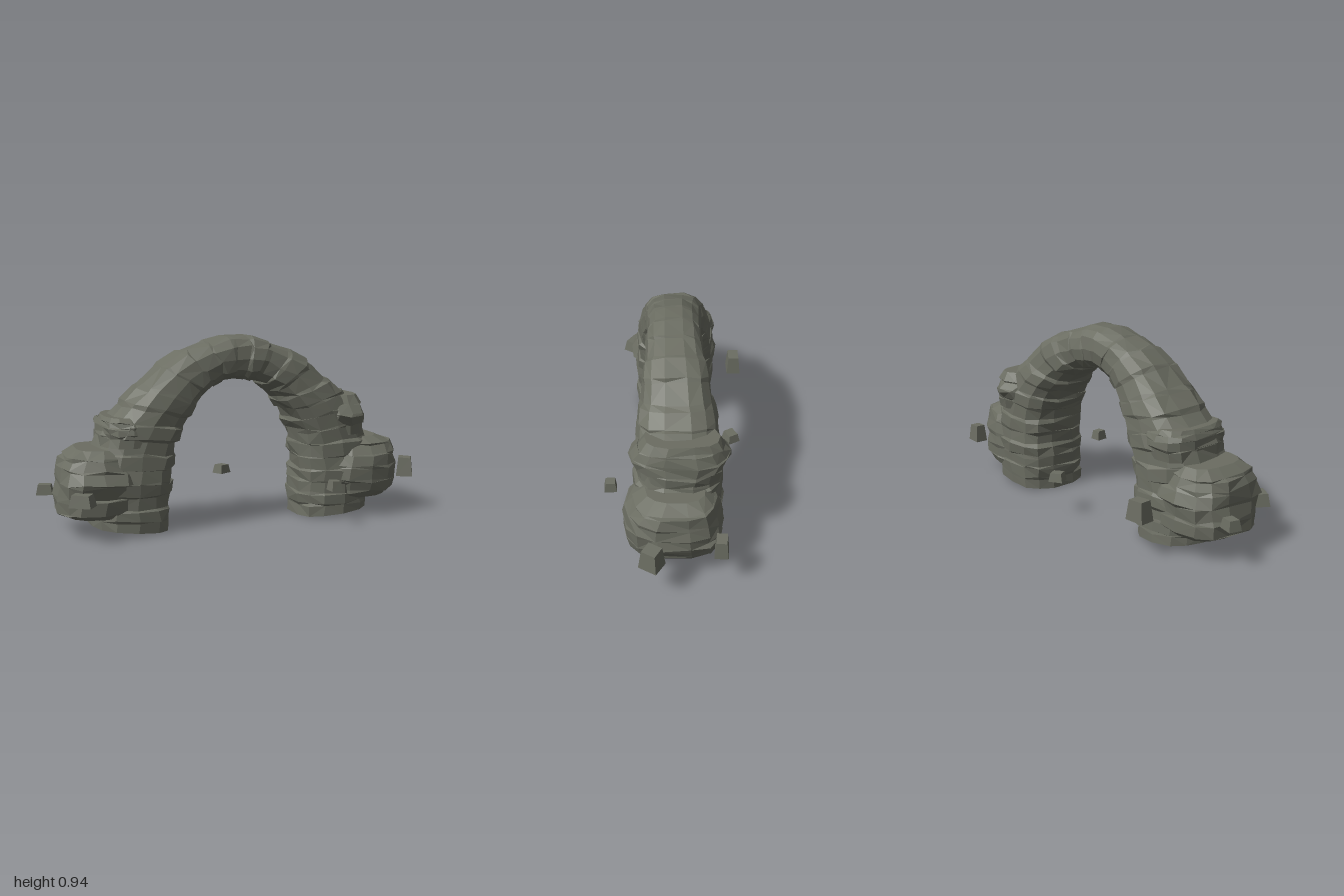
import * as THREE from 'three';

// small seeded random generator, -1..1
function seeded(seed) {
  let s = seed;
  return () => {
    s = (s * 16807) % 2147483647;
    return (s / 2147483647) * 2 - 1;
  };
}

const SIDES = 14;

// Layered rock lofted through keys of [innerX, innerY, outerX, outerY, frontZ, backZ].
// Each layer has its own width, so neighbouring layers meet in a ledge.
function strataGeometry(keys, layers, ledge, rough, seed) {
  const rnd = seeded(seed);
  const curve = (f) => new THREE.CatmullRomCurve3(keys.map(f));
  const inner = curve((k) => new THREE.Vector3(k[0], k[1], 0));
  const outer = curve((k) => new THREE.Vector3(k[2], k[3], 0));
  const depth = curve((k) => new THREE.Vector3(k[4], k[5], 0));
  const rings = [];
  const addRing = (t, scale, bumps, jitter) => {
    const i = inner.getPoint(t), o = outer.getPoint(t), d = depth.getPoint(t);
    const mid = i.clone().add(o).multiplyScalar(0.5);
    const half = o.clone().sub(i).multiplyScalar(0.5);
    const ring = [];
    for (let j = 0; j < SIDES; j++) {
      const a = ((j + 0.5) / SIDES) * Math.PI * 2;
      const c = Math.cos(a), s = Math.sin(a);
      const k = scale + bumps[j];
      const u = Math.sign(c) * Math.abs(c) ** 0.75 * k;
      const w = Math.sign(s) * Math.abs(s) ** 0.75 * k;
      const z = (d.x + d.y) / 2 + w * (d.x - d.y) / 2;
      const p = new THREE.Vector3(mid.x + half.x * u, mid.y + half.y * u, z);
      p.x += rnd() * jitter;
      p.y += rnd() * jitter;
      ring.push(p);
    }
    rings.push(ring);
  };
  for (let n = 0; n < layers; n++) {
    const scale = 1 + (n % 2 ? ledge : -ledge) * (0.7 + 0.5 * rnd());
    const bumps = Array.from({ length: SIDES }, () => rnd() * rough);
    const first = n === 0, last = n === layers - 1;
    addRing((n + (first ? 0 : 0.1)) / layers, scale, bumps, first ? 0 : 0.008);
    addRing((n + (last ? 1 : 0.9)) / layers, scale - 0.01, bumps, last ? 0 : 0.008);
  }

  const pos = [];
  const tri = (...pts) => pts.forEach((p) => pos.push(p.x, p.y, p.z));
  for (let r = 0; r < rings.length - 1; r++) {
    for (let j = 0; j < SIDES; j++) {
      const k = (j + 1) % SIDES;
      const a = rings[r][j], b = rings[r][k], c = rings[r + 1][k], d = rings[r + 1][j];
      if ((r + j) % 3) { tri(a, b, d); tri(b, c, d); }
      else { tri(a, b, c); tri(a, c, d); }
    }
  }
  // close both ends
  const centre = (ring) => ring.reduce((m, p) => m.add(p), new THREE.Vector3()).divideScalar(SIDES);
  const start = rings[0], end = rings[rings.length - 1];
  const c0 = centre(start), c1 = centre(end);
  for (let j = 0; j < SIDES; j++) {
    const k = (j + 1) % SIDES;
    tri(c0, start[k], start[j]);
    tri(c1, end[j], end[k]);
  }
  const g = new THREE.BufferGeometry();
  g.setAttribute('position', new THREE.Float32BufferAttribute(pos, 3));
  g.computeVertexNormals();
  return g;
}

// Loose stone: a box narrowed towards its top
function stoneGeometry(w, h, d) {
  const g = new THREE.BoxGeometry(w, h, d).toNonIndexed();
  const p = g.attributes.position;
  for (let i = 0; i < p.count; i++) {
    if (p.getY(i) > 0) {
      const lean = p.getX(i) > 0 ? 0.93 : 1;
      p.setXYZ(i, p.getX(i) * 0.76, p.getY(i) * lean, p.getZ(i) * 0.76);
    }
  }
  g.translate(0, h / 2, 0);
  g.computeVertexNormals();
  return g;
}

export function createModel() {
  const model = new THREE.Group();
  model.name = 'rockArch';
  const rock = new THREE.MeshStandardMaterial({ color: 0x6b6d62 });
  rock.name = 'greyRock';
  rock.flatShading = true;
  const add = (name, geometry) => {
    const mesh = new THREE.Mesh(geometry, rock);
    mesh.name = name;
    model.add(mesh);
    return mesh;
  };

  // Arch, from the foot at -x over the crown to the foot at +x
  const arch = [
    [-0.365, 0.0, -0.76, 0.04, 0.21, -0.21],
    [-0.365, 0.10, -0.76, 0.11, 0.21, -0.21],
    [-0.36, 0.20, -0.76, 0.21, 0.21, -0.21],
    [-0.345, 0.30, -0.74, 0.32, 0.21, -0.21],
    [-0.325, 0.40, -0.72, 0.44, 0.205, -0.21],
    [-0.285, 0.50, -0.66, 0.56, 0.20, -0.20],
    [-0.23, 0.59, -0.54, 0.68, 0.19, -0.185],
    [-0.16, 0.67, -0.37, 0.83, 0.165, -0.15],
    [-0.08, 0.715, -0.18, 0.91, 0.15, -0.125],
    [0.0, 0.725, 0.01, 0.95, 0.145, -0.12],
    [0.08, 0.715, 0.18, 0.91, 0.15, -0.125],
    [0.16, 0.67, 0.36, 0.83, 0.165, -0.15],
    [0.23, 0.60, 0.52, 0.70, 0.185, -0.18],
    [0.29, 0.51, 0.64, 0.59, 0.20, -0.20],
    [0.325, 0.41, 0.70, 0.45, 0.205, -0.205],
    [0.335, 0.30, 0.72, 0.32, 0.21, -0.21],
    [0.335, 0.20, 0.73, 0.21, 0.21, -0.21],
    [0.335, 0.10, 0.73, 0.11, 0.21, -0.21],
    [0.33, 0.0, 0.73, 0.04, 0.21, -0.21],
  ];
  add('arch', strataGeometry(arch, 29, 0.025, 0.03, 71));

  // Outcrops, built upwards: rows of [y, centre x, half width, front z, back z]
  const outcrop = (name, rows, seed) =>
    add(name, strataGeometry(
      rows.map(([y, x, w, f, b]) => [x + w, y, x - w, y, f, b]), rows.length, 0.015, 0.045, seed));

  outcrop('leftFlankOutcrop', [
    [0.095, 0.65, 0.16, 0.20, -0.19],
    [0.14, 0.66, 0.19, 0.24, -0.21],
    [0.22, 0.66, 0.205, 0.26, -0.21],
    [0.30, 0.67, 0.195, 0.26, -0.20],
    [0.37, 0.68, 0.18, 0.22, -0.18],
    [0.41, 0.66, 0.12, 0.15, -0.13],
  ], 19);
  outcrop('rightFlankOutcrop', [
    [0.095, -0.71, 0.17, 0.18, -0.19],
    [0.13, -0.72, 0.205, 0.21, -0.22],
    [0.22, -0.72, 0.20, 0.22, -0.22],
    [0.30, -0.72, 0.19, 0.22, -0.22],
    [0.37, -0.72, 0.17, 0.20, -0.20],
    [0.42, -0.71, 0.11, 0.15, -0.15],
  ], 43);
  outcrop('leftShoulderLedge', [
    [0.43, 0.57, 0.13, 0.19, -0.20],
    [0.50, 0.565, 0.135, 0.20, -0.22],
    [0.57, 0.56, 0.12, 0.20, -0.22],
    [0.63, 0.565, 0.09, 0.16, -0.19],
  ], 88);
  outcrop('rightShoulderLedge', [
    [0.43, -0.58, 0.13, 0.20, -0.21],
    [0.50, -0.575, 0.13, 0.20, -0.22],
    [0.54, -0.575, 0.125, 0.19, -0.21],
    [0.57, -0.58, 0.10, 0.16, -0.18],
  ], 27);

  // Loose stones: [x, z, width, height, depth, turn]
  [
    [-0.605, -0.335, 0.105, 0.10, 0.075, 0.02],
    [0.04, -0.285, 0.075, 0.045, 0.065, 0.5],
    [0.86, -0.195, 0.085, 0.09, 0.065, -0.08],
    [0.935, 0.125, 0.085, 0.10, 0.095, -0.55],
    [0.415, 0.33, 0.06, 0.05, 0.062, 0.05],
    [-0.95, -0.105, 0.08, 0.05, 0.065, -0.3],
    [-0.835, 0.23, 0.11, 0.06, 0.08, -0.6],
  ].forEach(([x, z, w, h, d, turn], i) => {
    const stone = add('looseStone' + (i + 1), stoneGeometry(w, h, d));
    stone.position.set(x, 0.18, z);
    stone.rotation.y = turn;
  });

  return model;
}
